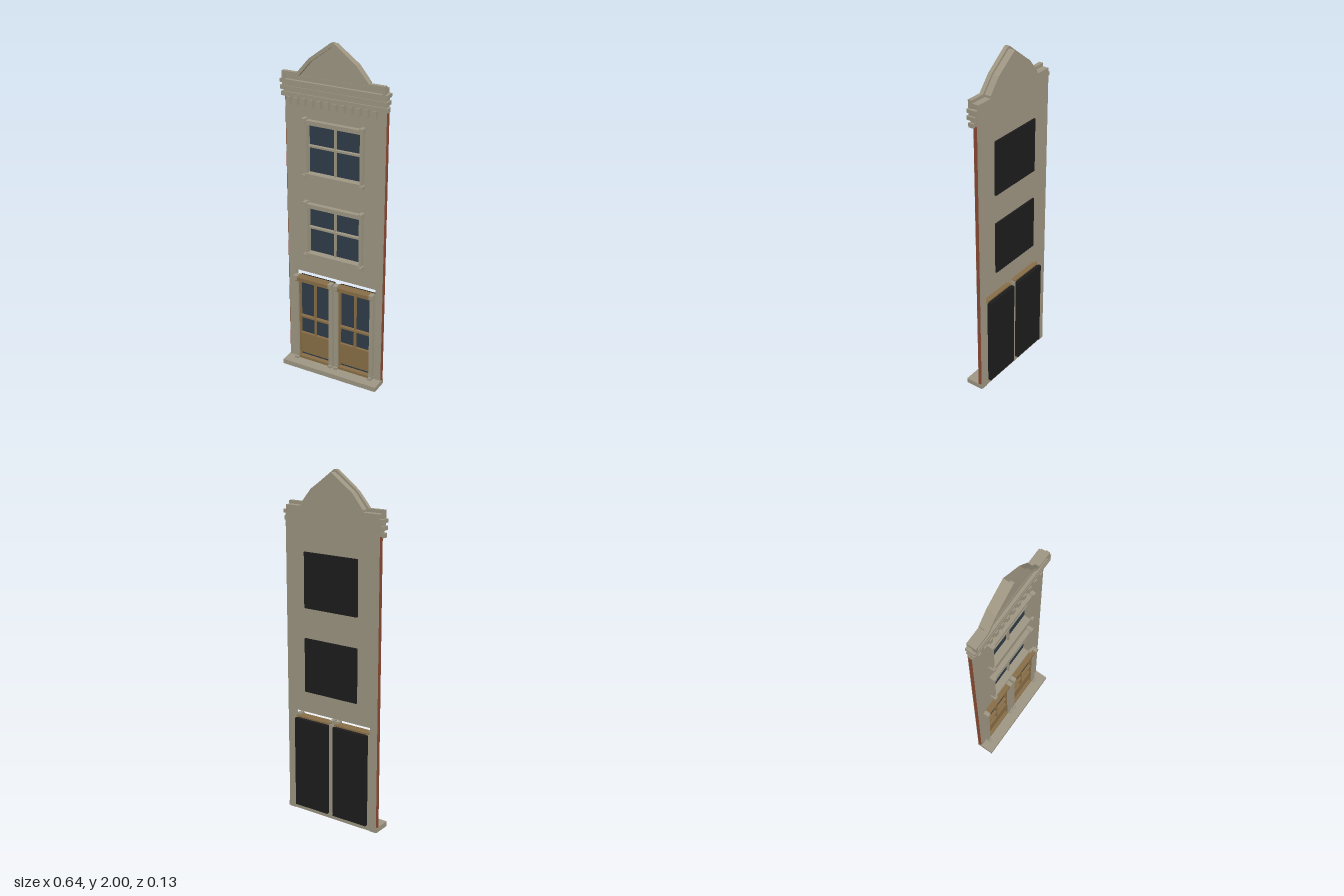
import * as THREE from 'three';

const mat = (name, color) => {
  const m = new THREE.MeshStandardMaterial({ color });
  m.name = name;
  return m;
};

export function createModel() {
  const stone = mat('stone', 0x9f9783);
  const brick = mat('brick', 0x8c4a34);
  const glass = mat('glass', 0x2f3d49);
  const wood = mat('wood', 0x886e47);
  const black = mat('black', 0x1d1d1d);
  const root = new THREE.Group();
  root.name = 'townhouseFacade';

  const group = (name, parent = root) => {
    const g = new THREE.Group();
    g.name = name;
    parent.add(g);
    return g;
  };
  // Box given by its limits on each axis
  const box = (parent, name, m, x0, x1, y0, y1, z0, z1) => {
    const mesh = new THREE.Mesh(new THREE.BoxGeometry(x1 - x0, y1 - y0, z1 - z0), m);
    mesh.position.set((x0 + x1) / 2, (y0 + y1) / 2, (z0 + z1) / 2);
    mesh.name = name;
    parent.add(mesh);
    return mesh;
  };
  const shapeOf = pts => new THREE.Shape(pts.map(p => new THREE.Vector2(...p)));
  const extrude = (parent, name, m, shape, z0, z1) => {
    const geo = new THREE.ExtrudeGeometry(shape, { depth: z1 - z0, bevelEnabled: false });
    geo.translate(0, 0, z0);
    const mesh = new THREE.Mesh(geo, m);
    mesh.name = name;
    parent.add(mesh);
  };
  // Mirrors the right half of an outline to close it
  const mirrored = half => [...half, ...half.filter(p => p[0] > 0).reverse().map(([x, y]) => [-x, y])];

  const WALL_BACK = -0.047, WALL_FRONT = -0.016;
  const windowMiddles = [0.907, 1.395];

  // Wall with a door opening and two window openings
  const wall = shapeOf([[-0.302, 0], [-0.26, 0], [-0.26, 0.625], [0.26, 0.625],
    [0.26, 0], [0.302, 0], [0.302, 1.77], [-0.302, 1.77]]);
  for (const y of windowMiddles) {
    wall.holes.push(new THREE.Path([[-0.165, y - 0.148], [-0.165, y + 0.148],
      [0.165, y + 0.148], [0.165, y - 0.148]].map(p => new THREE.Vector2(...p))));
  }
  extrude(root, 'wall', stone, wall, WALL_BACK, WALL_FRONT);

  // Brick edges
  for (const s of [-1, 1]) {
    const x = s * 0.304;
    box(root, 'brickEdge', brick, x - 0.004, x + 0.004, 0.03, 1.68, -0.039, -0.022);
  }

  // Doorstep
  box(root, 'doorstep', stone, -0.309, 0.309, 0, 0.03, -0.044, 0.062);

  // Windows
  windowMiddles.forEach((y, i) => {
    const g = group(i ? 'upperWindow' : 'lowerWindow');
    const top = y + 0.14, bottom = y - 0.143;
    box(g, 'glass', glass, -0.166, 0.166, y - 0.149, y + 0.149, -0.04, -0.032);
    box(g, 'backing', black, -0.174, 0.174, y - 0.157, y + 0.157, -0.057, -0.0405);
    for (const s of [-1, 1]) {
      const x = s * 0.171;
      box(g, 'jamb', stone, x - 0.009, x + 0.009, bottom, top, -0.03, 0.006);
      const c = s * 0.175;
      box(g, 'lintelBlock', stone, c - 0.011, c + 0.011, top + 0.004, top + 0.034, -0.016, 0.02);
      box(g, 'sillBlock', stone, c - 0.011, c + 0.011, bottom - 0.032, bottom - 0.008, -0.016, 0.02);
    }
    box(g, 'lintel', stone, -0.175, 0.175, top, top + 0.024, -0.03, 0.012);
    box(g, 'sill', stone, -0.175, 0.175, bottom - 0.02, bottom, -0.03, 0.012);
    box(g, 'crossBar', stone, -0.163, 0.163, y + 0.005, y + 0.016, -0.033, -0.012);
    box(g, 'middleBar', stone, -0.005, 0.005, bottom, top, -0.033, -0.016);
  });

  // Two glazed doors
  for (const s of [-1, 1]) {
    const g = group(s < 0 ? 'rightDoor' : 'leftDoor');
    g.position.x = s * 0.132;
    box(g, 'backing', black, -0.113, 0.113, 0.032, 0.577, -0.064, -0.041);
    box(g, 'glass', glass, -0.102, 0.102, 0.04, 0.568, -0.0405, -0.032);
    box(g, 'panel', wood, -0.102, 0.102, 0.064, 0.2, -0.033, -0.02);
    box(g, 'panelRail', wood, -0.102, 0.102, 0.195, 0.204, -0.033, -0.015);
    box(g, 'crossBar', wood, -0.102, 0.102, 0.312, 0.324, -0.033, -0.012);
    box(g, 'middleBar', wood, -0.005, 0.005, 0.2, 0.568, -0.033, -0.016);
    box(g, 'threshold', wood, -0.11, 0.11, 0.03, 0.046, -0.04, -0.004);
    box(g, 'header', wood, -0.117, 0.117, 0.563, 0.586, -0.042, 0.01);
    for (const t of [-1, 1]) {
      const x = t * 0.114;
      box(g, 'stile', wood, t * 0.1 - 0.004, t * 0.1 + 0.004, 0.04, 0.568, -0.038, -0.012);
      box(g, 'pilaster', stone, x - 0.011, x + 0.011, 0.03, 0.58, -0.044, 0.003);
      box(g, 'capital', stone, x - 0.012, x + 0.012, 0.57, 0.596, -0.02, 0.016);
      box(g, 'foot', stone, x - 0.012, x + 0.012, 0.03, 0.045, -0.02, 0.014);
    }
  }

  // Cornice bands
  const cornice = group('cornice');
  box(cornice, 'topBand', stone, -0.318, 0.318, 1.75, 1.77, -0.044, 0.013);
  box(cornice, 'topBandNeck', stone, -0.308, 0.308, 1.73, 1.75, -0.04, 0.008);
  box(cornice, 'middleBand', stone, -0.318, 0.318, 1.712, 1.734, -0.038, 0.012);
  box(cornice, 'middleBandNeck', stone, -0.306, 0.306, 1.696, 1.712, -0.036, -0.004);
  box(cornice, 'lowerBand', stone, -0.318, 0.318, 1.674, 1.698, -0.03, 0.003);
  // Dentils
  for (let i = 0; i < 12; i++) {
    const x = -0.273 + i * 0.047;
    box(cornice, 'dentil', stone, x - 0.011, x + 0.011, 1.632, 1.676, -0.018, 0.01);
  }

  // Gable: solid body, shoulders and a raised coping along the outline
  const gable = group('gable');
  box(gable, 'parapet', stone, -0.3, 0.3, 1.77, 1.797, WALL_BACK, -0.016);
  extrude(gable, 'gableBody', stone,
    shapeOf(mirrored([[0.2, 1.77], [0.2, 1.81], [0.132, 1.893], [0, 1.988]])), WALL_BACK, -0.006);
  box(gable, 'gableFace', stone, -0.3, 0.3, 1.77, 1.797, -0.018, -0.004);
  const outer = [[0.305, 1.77], [0.305, 1.815], [0.213, 1.815], [0.14, 1.9], [0.007, 2], [-0.007, 2],
    [-0.14, 1.9], [-0.213, 1.815], [-0.305, 1.815], [-0.305, 1.77]];
  const inner = [[-0.29, 1.77], [-0.29, 1.797], [-0.203, 1.797], [-0.129, 1.884], [0, 1.98],
    [0.129, 1.884], [0.203, 1.797], [0.29, 1.797], [0.29, 1.77]];
  extrude(gable, 'coping', stone, shapeOf([...outer, ...inner]), -0.01, 0.013);

  return root;
}
